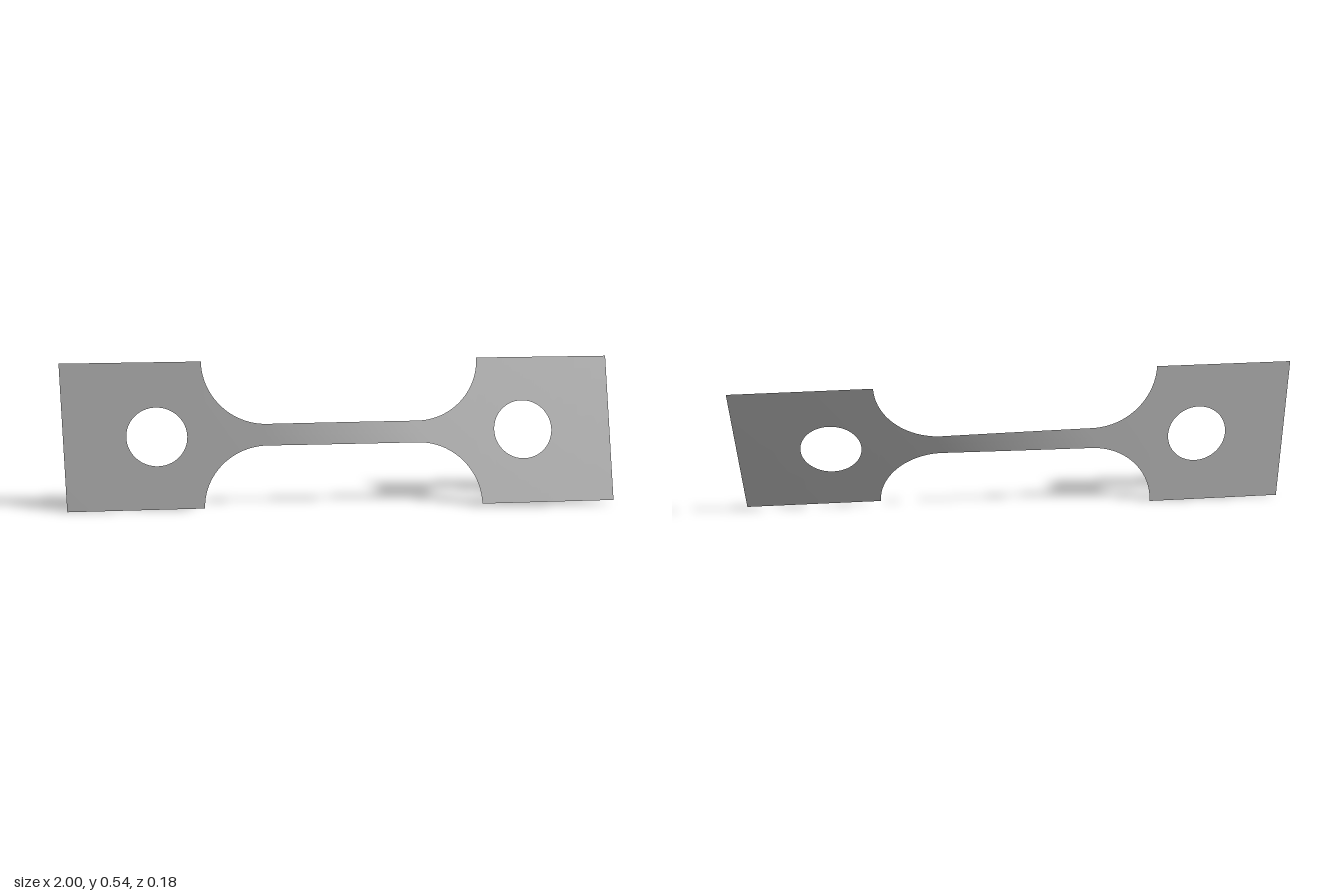
import * as THREE from 'three';
import { mergeGeometries, mergeVertices } from 'three/addons/utils/BufferGeometryUtils.js';

const TAB_H = 0.271, NECK_H = 0.04, NECK_X = 0.275, FILLET = TAB_H - NECK_H;
const HOLE_X = 0.67, HOLE_R = 0.108, ROWS = 6;

// Half height of the outline and of the hole at a given x
function outline(x) {
  const d = Math.abs(x) - NECK_X;
  if (d <= 0) return NECK_H;
  if (d >= FILLET) return TAB_H;
  return NECK_H + FILLET - Math.sqrt(FILLET * FILLET - d * d);
}
function hole(x) {
  const d = Math.abs(x) - HOLE_X;
  return Math.sqrt(Math.max(0, HOLE_R * HOLE_R - d * d));
}

// Twist angle along the bar: nearly all of it happens in the neck
function twist(x) {
  const stops = [[-1, 0], [-0.5, 0.3], [-0.275, 1], [0.275, 17.6], [0.5, 18.3], [1, 18.9]];
  for (let i = 1; i < stops.length; i++) {
    const [x0, a0] = stops[i - 1], [x1, a1] = stops[i];
    if (x <= x1) return THREE.MathUtils.degToRad(a0 + (a1 - a0) * (x - x0) / (x1 - x0));
  }
  return THREE.MathUtils.degToRad(18.9);
}

// Columns from the middle of the neck out to the end of a tab
function halfColumns() {
  const xs = [];
  for (let i = 0; i <= 12; i++) xs.push(NECK_X * i / 12);
  for (let i = 1; i <= 24; i++) xs.push(NECK_X + FILLET * Math.sin(i / 24 * Math.PI / 2));
  xs.push(0.535);
  for (let i = 0; i <= 32; i++) xs.push(HOLE_X - HOLE_R * Math.cos(i / 32 * Math.PI));
  xs.push(0.83, 0.88, 0.94, 1);
  return xs;
}

// Upper or lower half of the sheet, between the hole (or centreline) and the outline
function halfSheet(xs, side) {
  const positions = [], index = [];
  for (const x of xs) {
    const c = hole(x), h = outline(x), a = twist(x);
    for (let j = 0; j <= ROWS; j++) {
      const y = side * (c + (h - c) * j / ROWS);
      positions.push(x, TAB_H + y * Math.cos(a), -y * Math.sin(a));
    }
  }
  for (let i = 0; i < xs.length - 1; i++) {
    for (let j = 0; j < ROWS; j++) {
      const a = i * (ROWS + 1) + j, b = a + ROWS + 1;
      if (side > 0) index.push(a, b, b + 1, a, b + 1, a + 1);
      else index.push(a, b + 1, b, a, a + 1, b + 1);
    }
  }
  const geometry = new THREE.BufferGeometry();
  geometry.setAttribute('position', new THREE.Float32BufferAttribute(positions, 3));
  geometry.setIndex(index);
  return geometry;
}

export function createModel() {
  const group = new THREE.Group();
  group.name = 'twistedSpecimen';

  const metal = new THREE.MeshStandardMaterial({ color: 0xc0c0c0, side: THREE.DoubleSide });
  metal.name = 'grey metal';

  // Thin twisted bar with a drilled tab at each end
  const half = halfColumns();
  const xs = [...half.slice(1).reverse().map((x) => -x), ...half];
  const geometry = mergeVertices(mergeGeometries([halfSheet(xs, 1), halfSheet(xs, -1)]), 1e-5);
  geometry.computeVertexNormals();

  const bar = new THREE.Mesh(geometry, metal);
  bar.name = 'twistedBar';
  group.add(bar);
  return group;
}
